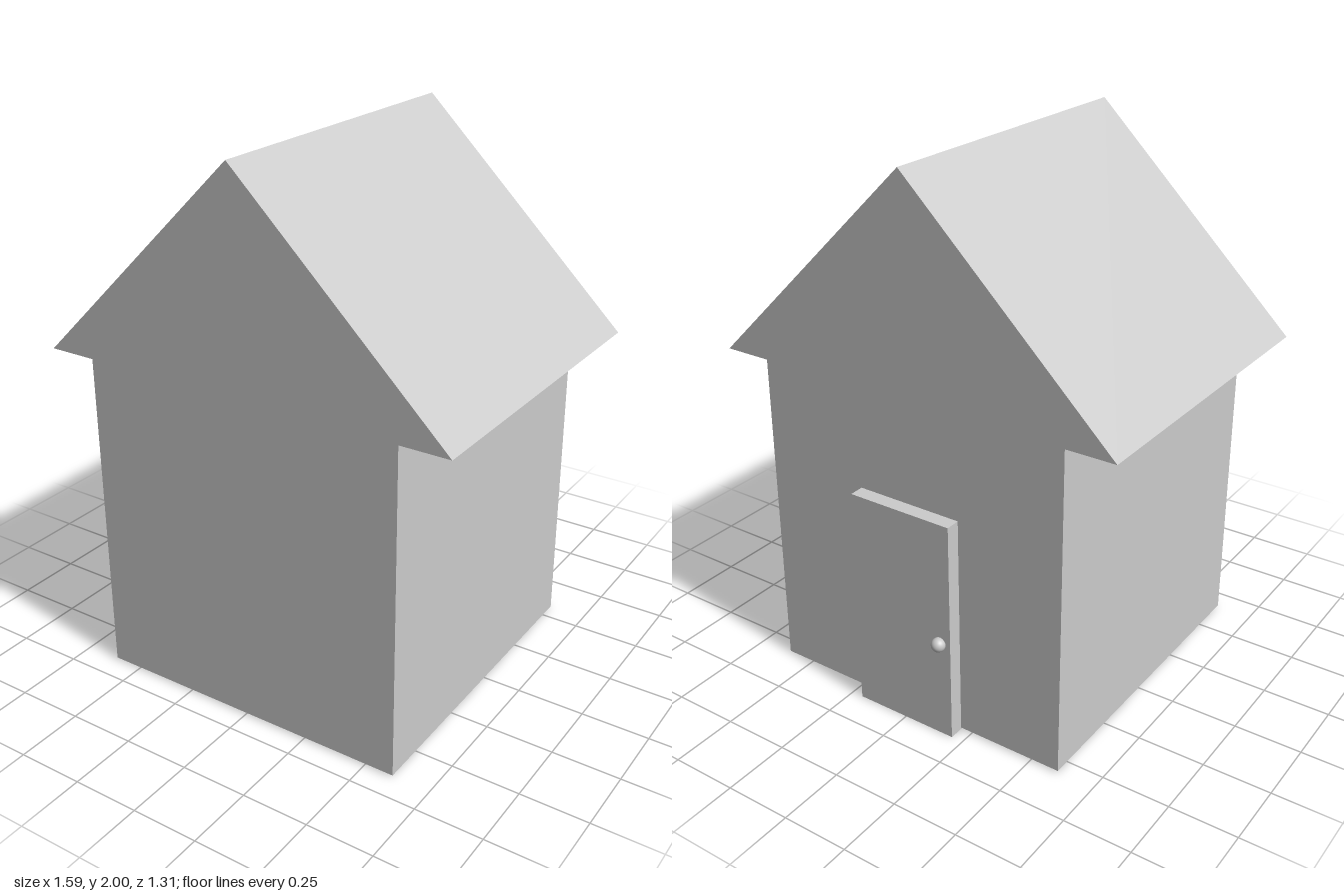
import * as THREE from 'three';

export function createModel() {
  const house = new THREE.Group();
  house.name = 'house';
  const material = new THREE.MeshStandardMaterial({ color: 0xcccccc });

  function add(name, geometry, x, y, z) {
    const mesh = new THREE.Mesh(geometry, material);
    mesh.name = name;
    mesh.position.set(x, y, z);
    house.add(mesh);
    return mesh;
  }

  const size = 1.222, base = 0.006, backZ = -0.565;
  const eaves = base + size;

  // Cubic walls
  add('walls', new THREE.BoxGeometry(size, size, size), 0, base + size / 2, backZ + size / 2);

  // Solid gable roof, overhanging only at the sides
  const gable = new THREE.Shape([
    new THREE.Vector2(-0.793, 0),
    new THREE.Vector2(0.793, 0),
    new THREE.Vector2(0, 2 - eaves),
  ]);
  add('roof', new THREE.ExtrudeGeometry(gable, { depth: size, bevelEnabled: false }), 0, eaves, backZ);

  // Door slab set into the back wall
  add('door', new THREE.BoxGeometry(0.41, 0.847, 0.14), 0, 0.4235, -0.55);

  // Round door knob
  add('doorKnob', new THREE.SphereGeometry(0.026, 32, 16), -0.162, 0.38, -0.63);

  return house;
}
